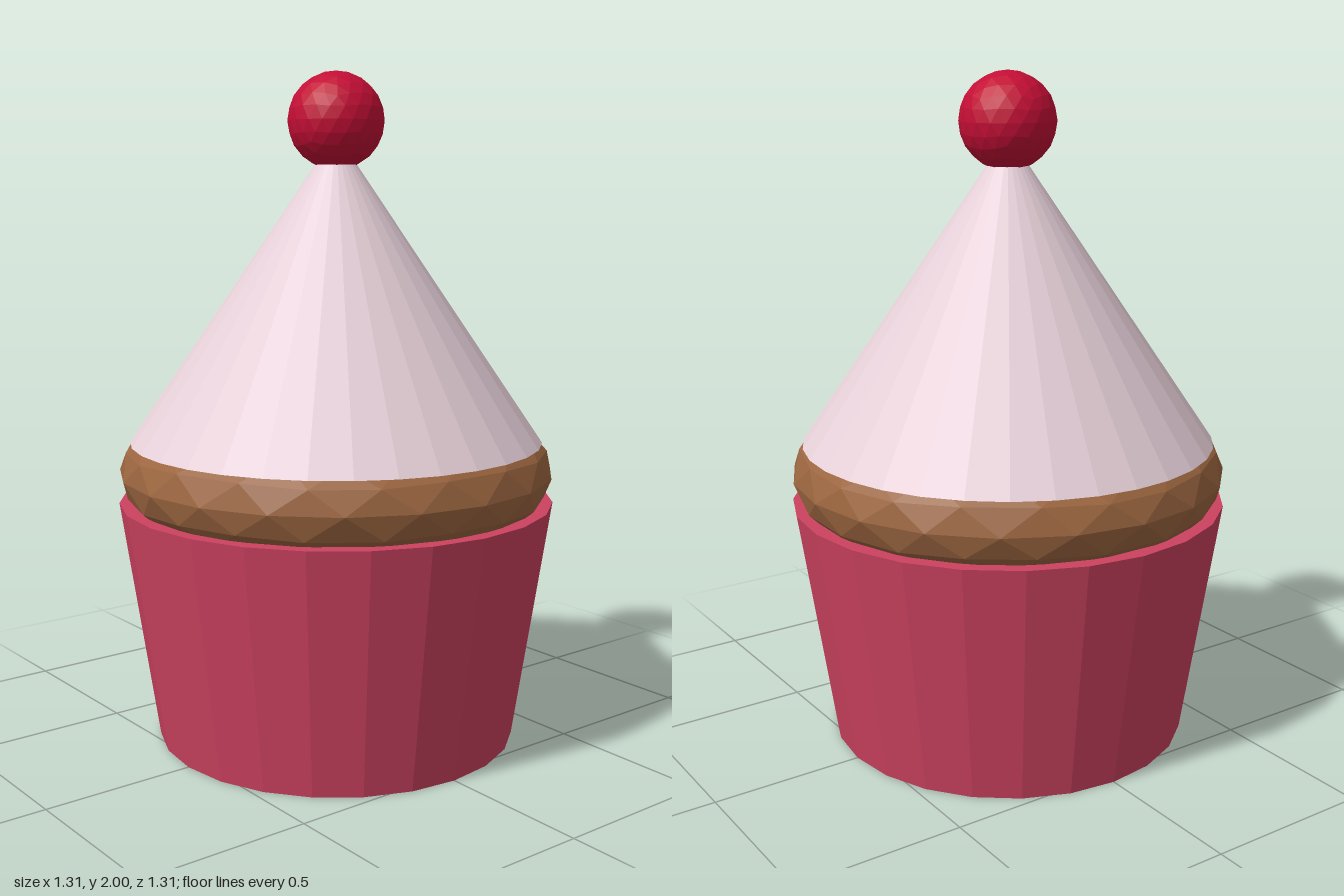
import * as THREE from 'three';

const mat = (name, color) => {
  const m = new THREE.MeshStandardMaterial({ color });
  m.name = name;
  m.flatShading = true;
  return m;
};

// Faceted ball with a vertex at each pole
function ball(radius, height) {
  const g = new THREE.IcosahedronGeometry(1, 3);
  g.rotateZ(-Math.atan(2 / (1 + Math.sqrt(5))));
  g.rotateY(Math.PI);
  g.scale(radius, height, radius);
  return g;
}

export function createModel() {
  const group = new THREE.Group();
  group.name = 'cupcake';
  const add = (name, geometry, material, y) => {
    const mesh = new THREE.Mesh(geometry, material);
    mesh.name = name;
    mesh.position.y = y;
    group.add(mesh);
  };

  // Tapered paper cup
  add('paperCup', new THREE.CylinderGeometry(0.655, 0.545, 0.73, 24), mat('cupRed', 0xcc4260), 0.365);
  // Squashed sponge bulging over the rim
  add('sponge', ball(0.655, 0.27), mat('spongeBrown', 0x9c6640), 0.82);
  // Cone of icing
  add('icing', new THREE.ConeGeometry(0.62, 0.91, 32), mat('icingPink', 0xead3dc), 1.365);
  // Cherry on the tip
  add('cherry', ball(0.143, 0.143), mat('cherryRed', 0xc40e35), 1.857);

  return group;
}
